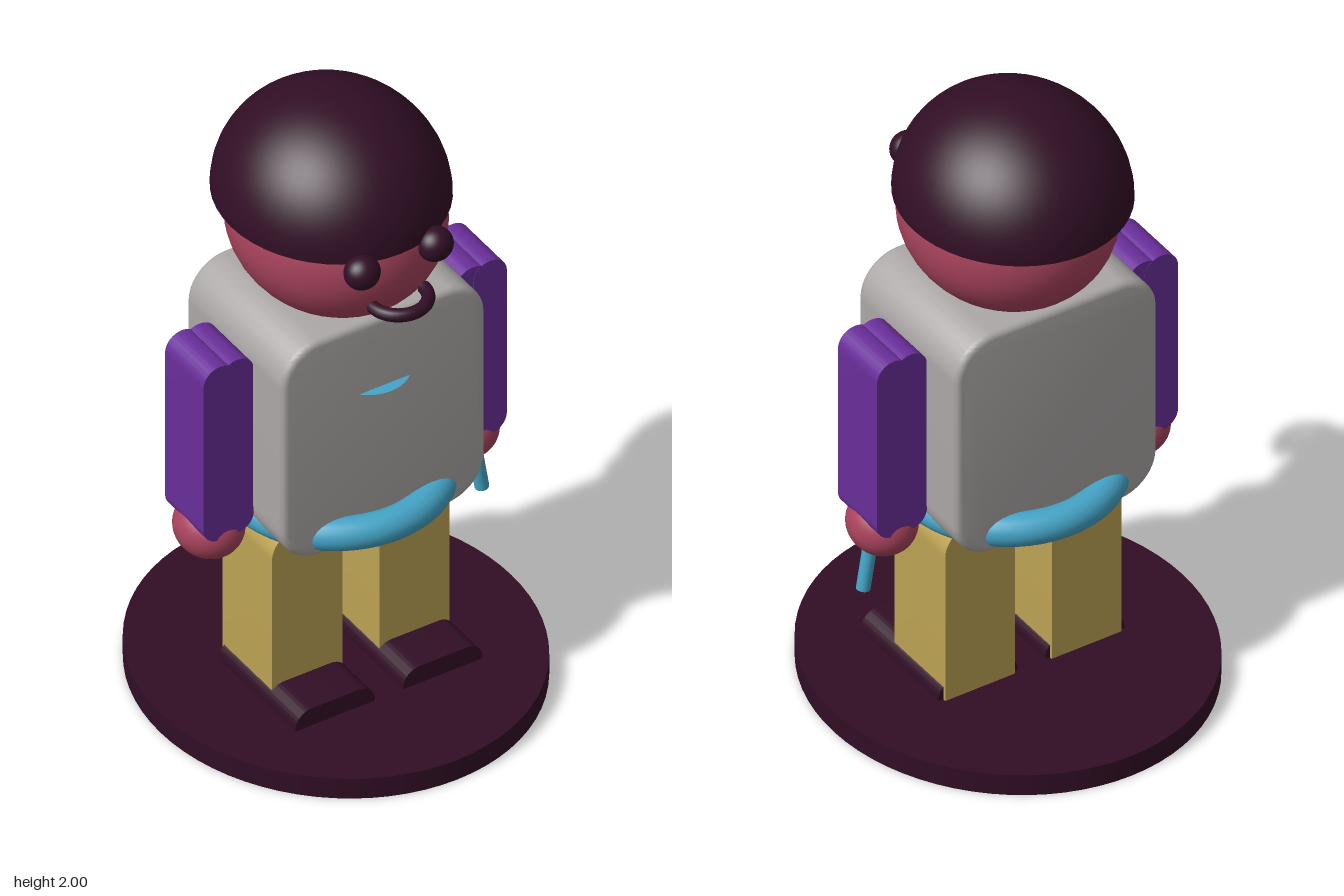
import * as THREE from 'three';
import { toCreasedNormals } from 'three/addons/utils/BufferGeometryUtils.js';

const paint = (name, color, side = THREE.FrontSide) => {
  const m = new THREE.MeshStandardMaterial({ color, side });
  m.name = name;
  return m;
};

// Rectangle with separate top and bottom corner radii, extruded along z
function slab(x0, x1, y0, y1, z0, z1, rTop, rBottom, bevel = 0) {
  const b = bevel, s = new THREE.Shape();
  x0 += b; x1 -= b; y0 += b; y1 -= b;
  s.moveTo(x0 + rBottom, y0);
  s.lineTo(x1 - rBottom, y0);
  if (rBottom) s.absarc(x1 - rBottom, y0 + rBottom, rBottom, -Math.PI / 2, 0);
  s.lineTo(x1, y1 - rTop);
  s.absarc(x1 - rTop, y1 - rTop, rTop, 0, Math.PI / 2);
  s.lineTo(x0 + rTop, y1);
  s.absarc(x0 + rTop, y1 - rTop, rTop, Math.PI / 2, Math.PI);
  s.lineTo(x0, y0 + rBottom);
  if (rBottom) s.absarc(x0 + rBottom, y0 + rBottom, rBottom, Math.PI, Math.PI * 1.5);
  const g = new THREE.ExtrudeGeometry(s, {
    depth: z1 - z0 - 2 * b, curveSegments: 12, bevelEnabled: b > 0,
    bevelSize: b, bevelThickness: b, bevelSegments: 4,
  });
  g.translate(0, 0, z0 + b);
  return toCreasedNormals(g, 0.6);
}

export function createModel() {
  const model = new THREE.Group();
  model.name = 'figurine';
  const dark = paint('dark plum', 0x310e25, THREE.DoubleSide);
  const skin = paint('skin', 0xa8435c);
  const grey = paint('shirt grey', 0xaca7a7);
  const purple = paint('sleeve purple', 0x692e99);
  const teal = paint('belt teal', 0x45a5c8, THREE.DoubleSide);
  const tan = paint('trouser tan', 0xbca254);

  const add = (name, geometry, material, x = 0, y = 0, z = 0) => {
    const mesh = new THREE.Mesh(geometry, material);
    mesh.name = name;
    mesh.position.set(x, y, z);
    model.add(mesh);
    return mesh;
  };
  const ball = (name, material, pos, size) =>
    add(name, new THREE.SphereGeometry(1, 40, 28), material, ...pos).scale.set(...size);

  // Oval stand
  add('base', new THREE.CylinderGeometry(1, 1, 0.07, 72), dark, 0, 0.035, 0).scale.set(0.587, 1, 0.632);

  // Torso
  add('torso', slab(-0.34, 0.34, 0.64, 1.405, -0.253, 0.253, 0.11, 0.11, 0.02), grey);

  // Thin chest disc, mostly sunk into the torso
  add('chestDisc', new THREE.CircleGeometry(0.12, 40).rotateX(-Math.PI / 2), teal, 0, 1.16, 0.168);

  // Belt ring and its hanging end
  add('belt', new THREE.TorusGeometry(0.3, 0.05, 20, 64).rotateX(Math.PI / 2), teal, 0, 0.697, 0);
  const end = new THREE.LineCurve3(new THREE.Vector3(0.437, 0.68, 0.02), new THREE.Vector3(0.475, 0.447, 0.02));
  add('beltEnd', new THREE.TubeGeometry(end, 1, 0.021, 16), teal);
  const cap = add('beltEndCap', new THREE.CircleGeometry(0.021, 16).rotateX(Math.PI / 2), teal, 0.475, 0.447, 0.02);
  cap.rotation.z = Math.atan2(0.038, 0.233);

  // Head, hair and mouth
  ball('head', skin, [0, 1.615, 0], [0.31, 0.285, 0.338]);
  add('hair', new THREE.SphereGeometry(1, 48, 20, 0, Math.PI * 2, 0, Math.PI / 2), dark, 0, 1.68, -0.025)
    .scale.set(0.335, 0.32, 0.361);
  add('mouth', new THREE.TorusGeometry(0.085, 0.02, 14, 32, Math.PI).rotateX(Math.PI / 2), dark, 0, 1.52, 0.325);

  // Paired parts
  for (const s of [1, -1]) {
    const side = s > 0 ? 'left' : 'right';
    const span = (a, b) => (s > 0 ? [a, b] : [-b, -a]);
    ball(side + 'Eye', dark, [s * 0.122, 1.66, 0.327], [0.054, 0.052, 0.05]);
    ball(side + 'Hand', skin, [s * 0.425, 0.677, 0], [0.101, 0.096, 0.11]);
    // Sleeve made of two overlapping round-ended slabs
    add(side + 'SleeveOuter', slab(...span(0.395, 0.507), 0.695, 1.312, -0.1, 0.1, 0.055, 0.055), purple);
    add(side + 'SleeveInner', slab(...span(0.338, 0.45), 0.695, 1.312, -0.099, 0.099, 0.055, 0.055), purple);
    add(side + 'Leg', slab(...span(0.062, 0.297), 0.07, 0.66, -0.13, 0.13, 0.085, 0), tan);
    add(side + 'Shoe', slab(...span(0.047, 0.313), 0.065, 0.13, -0.12, 0.277, 0.055, 0), dark);
  }
  return model;
}
